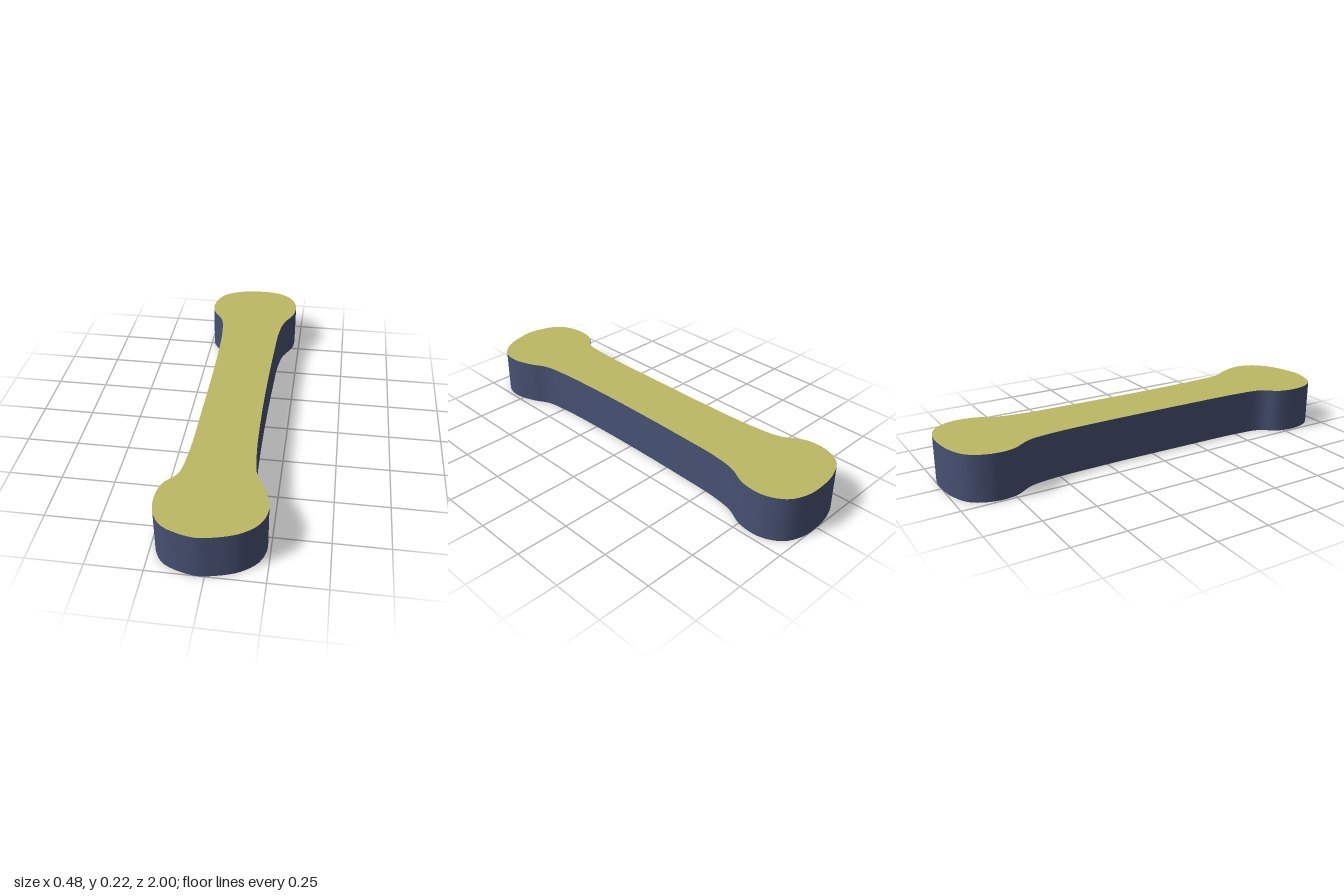
import * as THREE from 'three';

const HEIGHT = 0.218;
const SEGMENTS = 200;

// Bone outline as [x, z], running from the front round by +x
const OUTLINE = [
  [-0.04, 1.0], [0.04, 0.99], [0.14, 0.955], [0.212, 0.89], [0.236, 0.8], [0.207, 0.69],
  [0.166, 0.61], [0.148, 0.48], [0.138, 0.2], [0.138, -0.1], [0.143, -0.35], [0.151, -0.55],
  [0.17, -0.66], [0.215, -0.76], [0.218, -0.87], [0.17, -0.955], [0.09, -0.994], [0.0, -1.0],
  [-0.1, -0.985], [-0.19, -0.94], [-0.236, -0.85], [-0.233, -0.75], [-0.175, -0.65], [-0.153, -0.52],
  [-0.143, -0.25], [-0.143, 0.2], [-0.148, 0.5], [-0.168, 0.645], [-0.22, 0.71], [-0.238, 0.8],
  [-0.222, 0.89], [-0.175, 0.955],
];

function createModel() {
  const group = new THREE.Group();
  group.name = 'bone';
  const curve = new THREE.CatmullRomCurve3(
    OUTLINE.map(([x, z]) => new THREE.Vector3(x, 0, z)), true, 'centripetal');
  curve.arcLengthDivisions = 1000;

  const capMaterial = new THREE.MeshStandardMaterial({ color: 0xbcb964 });
  const sideMaterial = new THREE.MeshStandardMaterial({ color: 0x465072 });

  // Side wall: an open tube whose rings follow the outline, with smooth normals
  const wall = new THREE.CylinderGeometry(1, 1, HEIGHT, SEGMENTS, 1, true);
  const { position, normal } = wall.attributes;
  for (let i = 0; i < position.count; i++) {
    const u = (i % (SEGMENTS + 1)) / SEGMENTS;
    const p = curve.getPointAt(u);
    const t = curve.getTangentAt(u);
    position.setXYZ(i, p.x, position.getY(i) + HEIGHT / 2, p.z);
    normal.setXYZ(i, -t.z, 0, t.x);
  }
  const side = new THREE.Mesh(wall, sideMaterial);
  side.name = 'sideWall';
  group.add(side);

  // Flat faces: facing = 1 looks up, -1 looks down
  const points = curve.getSpacedPoints(SEGMENTS).slice(0, -1);
  const addFace = (name, facing, y) => {
    const shape = new THREE.Shape(points.map((p) => new THREE.Vector2(p.x, -facing * p.z)));
    const geometry = new THREE.ShapeGeometry(shape);
    geometry.rotateX(-facing * Math.PI / 2).translate(0, y, 0);
    const face = new THREE.Mesh(geometry, capMaterial);
    face.name = name;
    group.add(face);
  };
  addFace('topFace', 1, HEIGHT);
  addFace('bottomFace', -1, 0);

  return group;
}

export { createModel };
